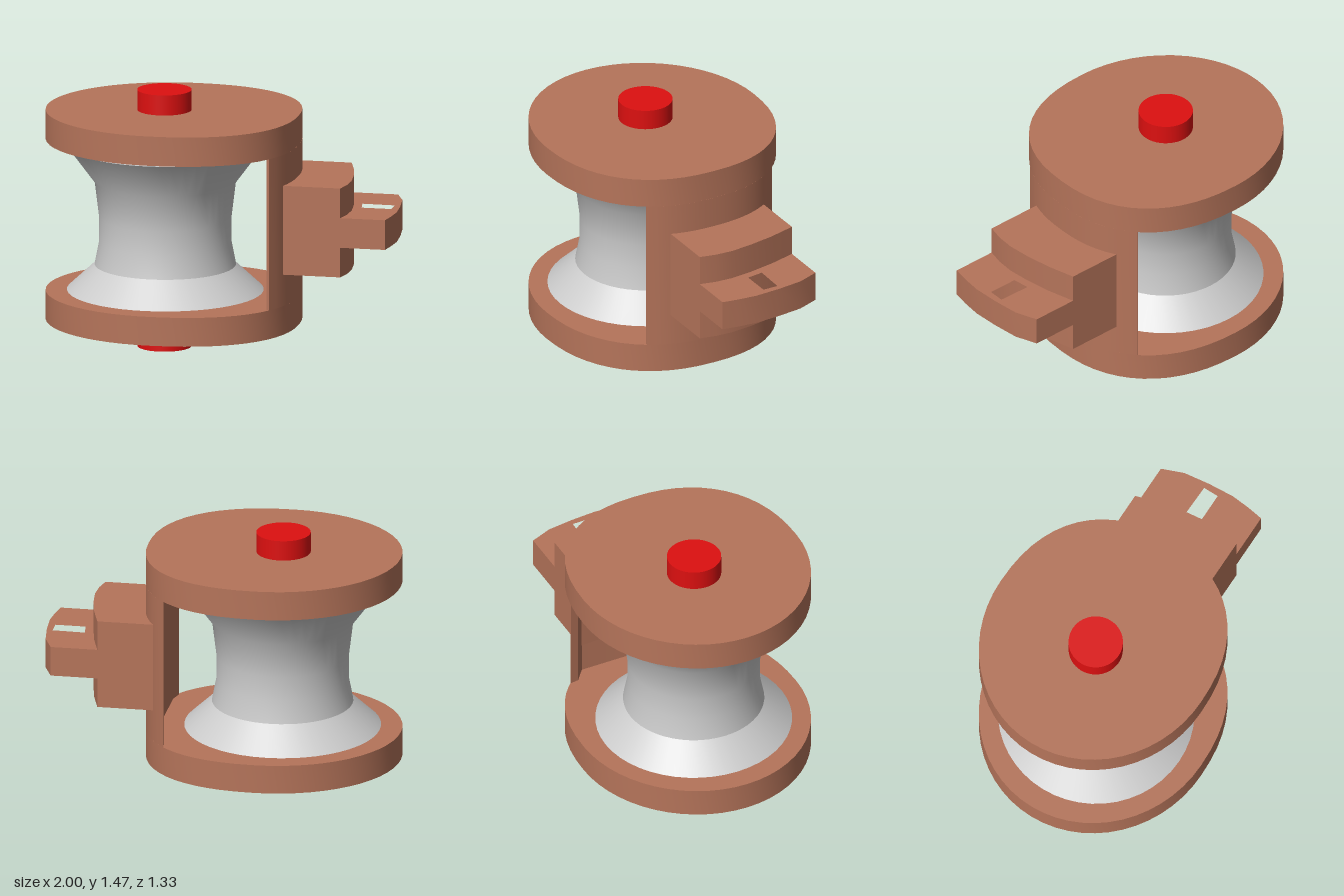
import * as THREE from 'three';
import { toCreasedNormals } from 'three/addons/utils/BufferGeometryUtils.js';

const brown = new THREE.MeshStandardMaterial({ color: 0xb5745a });
const red = new THREE.MeshStandardMaterial({ color: 0xdd1010 });
const grey = new THREE.MeshStandardMaterial({ color: 0xcccccc });

const CX = -0.285, RX = 0.715, RZ = 0.665, N = 2.3;
// x of the plate's rounder right-hand rim at depth z
const rimX = z => CX + RX * Math.pow(1 - Math.pow(Math.abs(z / RZ), N), 1 / N);
const spin = pts => pts.map(([x, z]) => new THREE.Vector2(x, -z));

// Upright prism from a plan outline of [x, z] points between two heights
function prism(name, outline, y0, y1, hole) {
  const shape = new THREE.Shape(spin(outline));
  if (hole) shape.holes.push(new THREE.Path(spin(hole)));
  const geo = new THREE.ExtrudeGeometry(shape, { depth: y1 - y0, bevelEnabled: false });
  geo.rotateX(-Math.PI / 2);
  geo.translate(0, y0, 0);
  const mesh = new THREE.Mesh(toCreasedNormals(geo, 0.6), brown);
  mesh.name = name;
  return mesh;
}

function lathe(name, profile, material, x) {
  const pts = profile.map(p => new THREE.Vector2(...p));
  const mesh = new THREE.Mesh(toCreasedNormals(new THREE.LatheGeometry(pts, 48), 0.6), material);
  mesh.position.x = x;
  mesh.name = name;
  return mesh;
}

export function createModel() {
  const group = new THREE.Group();
  group.name = 'rollerBracket';

  // Round cheek plates: elliptical on the left, fuller on the right
  const plate = [];
  for (let i = 0; i < 56; i++) {
    const a = i / 56 * Math.PI * 2, c = Math.cos(a), s = Math.sin(a);
    const e = c > 0 ? 2 / N : 1;
    plate.push([CX + RX * Math.sign(c) * Math.pow(Math.abs(c), e),
      RZ * Math.sign(s) * Math.pow(Math.abs(s), e)]);
  }
  group.add(prism('lowerPlate', plate, 0.155, 0.32));
  group.add(prism('upperPlate', plate, 1.187, 1.355));

  // Curved web joining the plates
  const web = [[0.325, 0.375], [0.345, 0.3], [0.345, -0.36], [0.27, -0.42], [0.262, -0.47]];
  for (let i = 0; i <= 16; i++) {
    const z = -0.47 + 0.845 * i / 16;
    web.push([rimX(z), z]);
  }
  group.add(prism('web', web, 0.32, 1.187));

  // Mounting block and slotted tongue with curved outer ends
  group.add(prism('mountBlock', [[0.335, -0.375], [0.655, -0.375], [0.7, -0.22], [0.73, -0.07],
    [0.745, 0.06], [0.74, 0.16], [0.72, 0.255], [0.37, 0.255]], 0.5, 1.01));
  group.add(prism('tongue', [[0.6, -0.375], [0.92, -0.375], [0.97, -0.25], [0.99, -0.1],
    [1, 0.05], [0.99, 0.16], [0.975, 0.255], [0.6, 0.255]], 0.67, 0.84,
  [[0.77, -0.115], [0.955, -0.11], [0.955, -0.02], [0.785, -0.02]]));

  // Waisted roller on its axle pin
  group.add(lathe('roller', [[0, 0.325], [0.55, 0.325], [0.395, 0.47], [0.37, 0.6], [0.37, 0.74],
    [0.395, 0.945], [0.55, 1.155], [0, 1.155]], grey, -0.33));
  group.add(lathe('axlePin', [[0, 0], [0.152, 0], [0.152, 1.47], [0, 1.47]], red, -0.335));
  return group;
}
